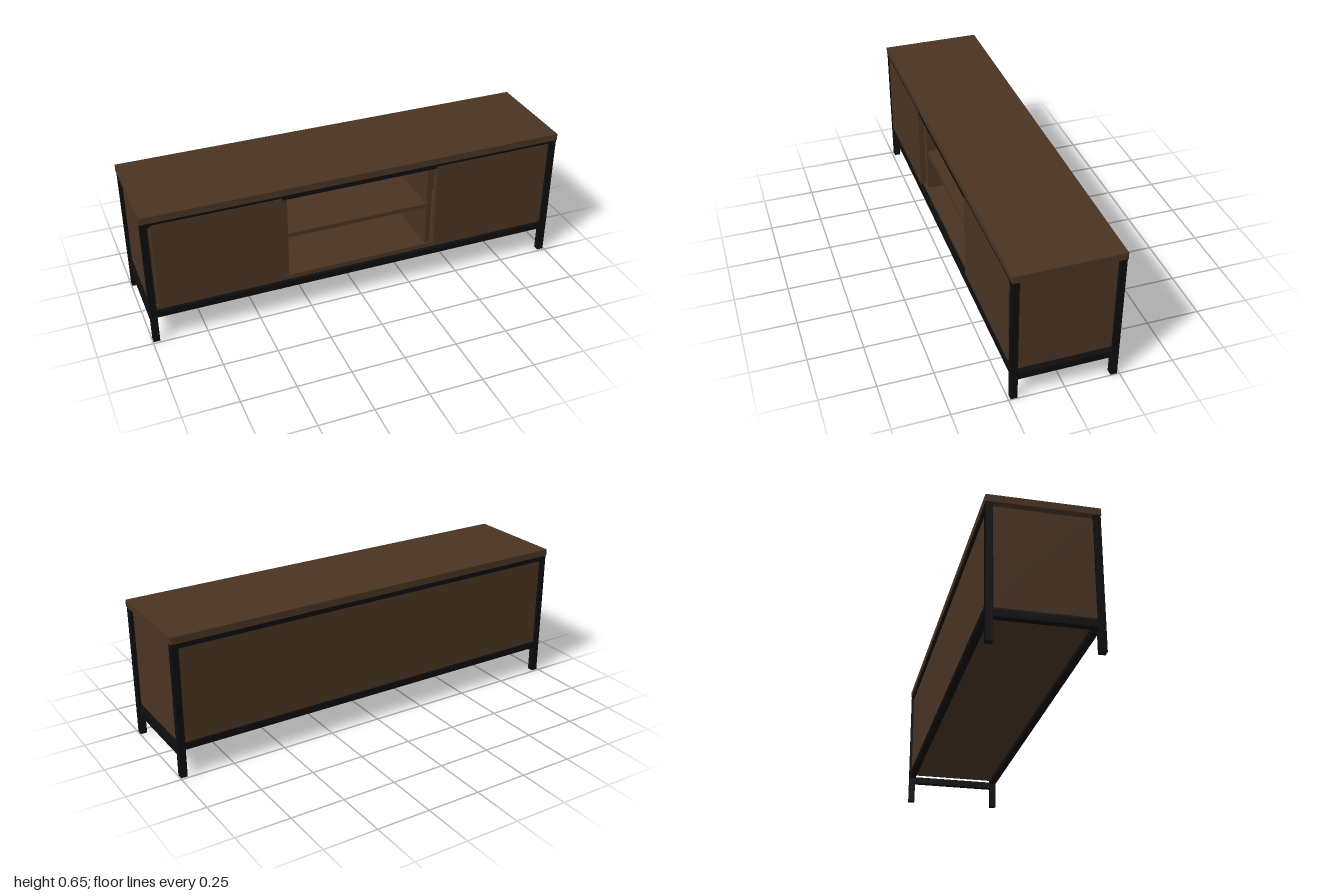
import * as THREE from 'three';

export function createModel() {
  const group = new THREE.Group();
  const wood = new THREE.MeshStandardMaterial({ color: 0x4a3423 });
  wood.name = 'dark walnut';
  const metal = new THREE.MeshStandardMaterial({ color: 0x0d0d0d });
  metal.name = 'black metal';

  // Box given by its lower and upper limits on each axis
  function box(name, material, [x0, x1], [y0, y1], [z0, z1]) {
    const mesh = new THREE.Mesh(new THREE.BoxGeometry(x1 - x0, y1 - y0, z1 - z0), material);
    mesh.position.set((x0 + x1) / 2, (y0 + y1) / 2, (z0 + z1) / 2);
    mesh.name = name;
    group.add(mesh);
  }
  // Limits mirrored to the given side
  const flip = (side, a, b) => (side > 0 ? [a, b] : [-b, -a]);

  // Tabletop
  box('tabletop', wood, [-1, 1], [0.623, 0.655], [-0.242, 0.242]);

  // Metal frame: long rails front and back
  for (const s of [1, -1]) {
    const end = s > 0 ? 'front' : 'back';
    const z = flip(s, 0.21, 0.24);
    box(end + 'BottomRail', metal, [-0.967, 0.967], [0.13, 0.16], z);
    box(end + 'TopRail', metal, [-0.967, 0.967], [0.6, 0.623], z);
  }

  for (const s of [1, -1]) {
    const side = s > 0 ? 'left' : 'right';
    // Legs and short side rail
    box(side + 'FrontLeg', metal, flip(s, 0.967, 0.997), [0, 0.623], [0.21, 0.24]);
    box(side + 'BackLeg', metal, flip(s, 0.967, 0.997), [0, 0.623], [-0.24, -0.21]);
    box(side + 'SideRail', metal, flip(s, 0.967, 0.997), [0.105, 0.137], [-0.21, 0.21]);
    // Cabinet side, divider and door
    box(side + 'SidePanel', wood, flip(s, 0.952, 0.982), [0.182, 0.612], [-0.21, 0.21]);
    box(side + 'Divider', wood, flip(s, 0.342, 0.368), [0.182, 0.612], [-0.21, 0.213]);
    box(side + 'Door', wood, flip(s, 0.374, 0.955), [0.188, 0.61], [0.214, 0.242]);
  }

  // Cabinet floor, back and open shelf
  box('floorPanel', wood, [-0.982, 0.982], [0.152, 0.182], [-0.21, 0.21]);
  box('floorLip', wood, [-0.967, 0.967], [0.16, 0.182], [0.21, 0.222]);
  box('backPanel', wood, [-0.967, 0.967], [0.16, 0.6], [-0.23, -0.21]);
  box('shelf', wood, [-0.342, 0.342], [0.38, 0.4], [-0.21, 0.21]);

  return group;
}
